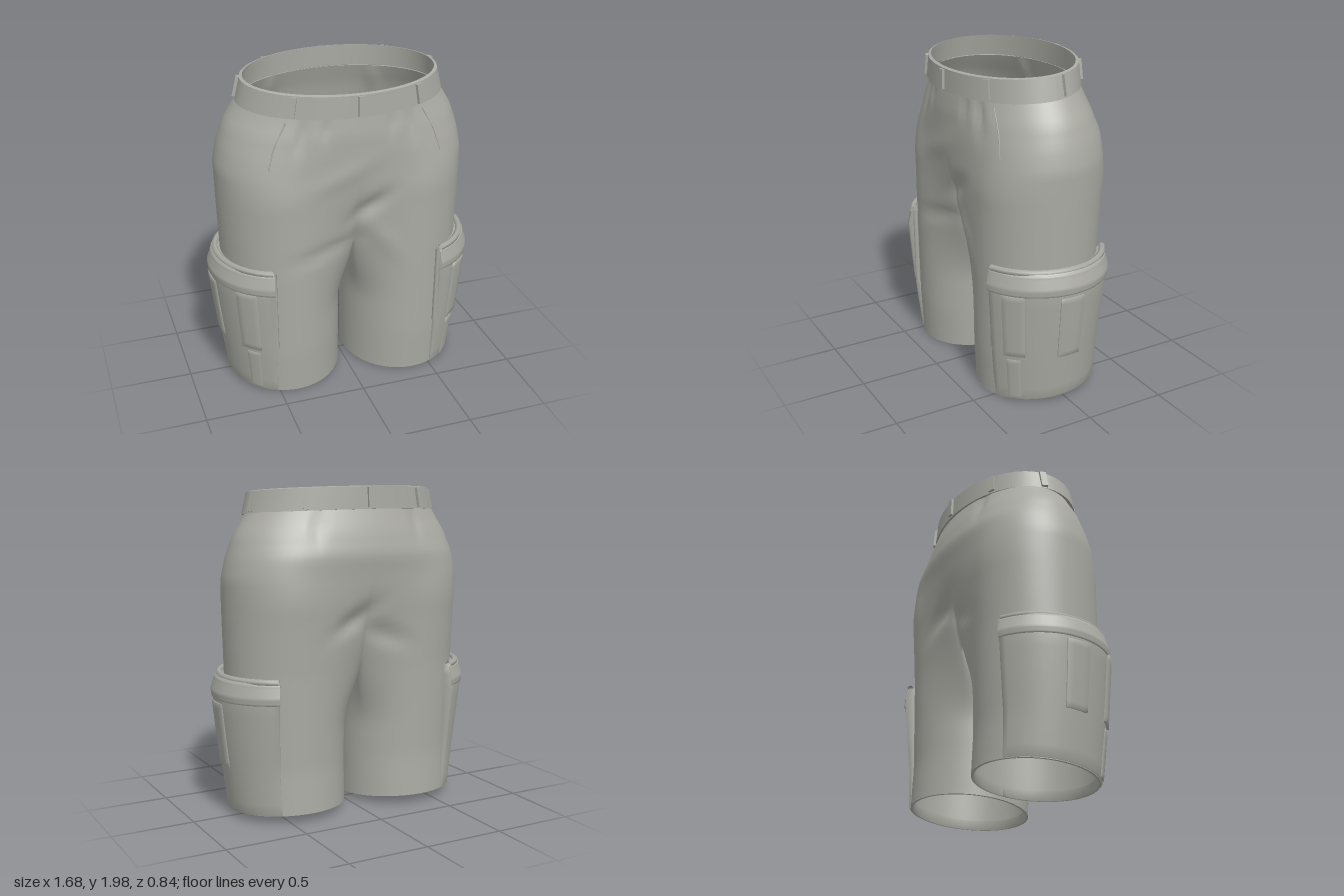
import * as THREE from 'three';
import { mergeGeometries, mergeVertices } from 'three/addons/utils/BufferGeometryUtils.js';

const { lerp, smoothstep, clamp, degToRad } = THREE.MathUtils;
const T = degToRad(150);          // where the outer leg wall meets the inseam wall
const CX = 0.385, CROTCH = 0.97, TOP = 1.84;

// Height, half width, front z, back z
const SIZES = [
  [0.0, 0.735, 0.37, 0.355], [0.3, 0.745, 0.385, 0.34], [0.9, 0.757, 0.39, 0.355],
  [1.2, 0.765, 0.39, 0.375], [1.45, 0.77, 0.395, 0.40], [1.57, 0.745, 0.40, 0.418],
  [1.7, 0.70, 0.40, 0.39], [1.84, 0.612, 0.385, 0.345],
];
// Cloth folds: side (+1 front, -1 back), x, y, angle, length, width, height
const FOLDS = [
  [1, -0.33, 1.72, 1.3, 0.10, 0.025, -0.022], [1, 0.33, 1.72, 1.9, 0.10, 0.025, -0.022],
  [1, -0.20, 1.75, 1.5, 0.07, 0.025, -0.015], [1, 0.20, 1.75, 1.7, 0.07, 0.025, -0.015],
  [1, 0.08, 1.22, 0.6, 0.13, 0.05, -0.03], [1, -0.2, 0.95, 0.2, 0.2, 0.04, -0.018],
  [1, 0.17, 0.98, -0.9, 0.17, 0.05, 0.015], [1, -0.1, 1.45, 0.4, 0.2, 0.06, 0.012],
  [-1, -0.33, 1.74, 1.4, 0.09, 0.03, -0.018], [-1, 0.33, 1.74, 1.7, 0.09, 0.03, -0.018],
  [-1, 0.1, 1.2, -0.5, 0.15, 0.05, -0.03], [-1, -0.12, 1.1, 0.4, 0.15, 0.05, -0.025],
];

function sizesAt(y) {
  let i = 0;
  while (i < SIZES.length - 2 && y > SIZES[i + 1][0]) i++;
  const a = SIZES[i], b = SIZES[i + 1], f = clamp((y - a[0]) / (b[0] - a[0]), 0, 1);
  return [1, 2, 3].map((k) => lerp(a[k], b[k], f));
}

const slant = (y, z) => y - 0.08 * clamp(Math.abs(y - 0.95), 0, 0.9) / 0.9 * z;
const seam = (y) => smoothstep(y, 0.5, CROTCH);
const hull = (y) => smoothstep(y, 0.5, 1.45);

// Point on the +x half at angle t (0 = outer side, + = front); beyond T is the inseam
function cloth(t, y, side = 1) {
  const [w, zf, zb] = sizesAt(y), a = Math.abs(t), s = hull(y);
  const depth = Math.sin(t) >= 0 ? zf : zb;
  let x = CX + (Math.cos(t) > 0 ? w - CX : 0.36) * Math.cos(t);
  let z = depth * Math.sin(t);
  if (a > T + 1e-6) {
    x *= (1 - s) * (1 - seam(y));
    const end = lerp(Math.sin(T), 1, s) / Math.sin(T);
    z *= end;
  } else {
    if (a > Math.PI / 2) {
      const f = (a - Math.PI / 2) / (T - Math.PI / 2);
      x = lerp(x, CX * (1 - f), s);
      z = lerp(z, depth * Math.sign(t), s);
      x *= 1 - seam(y) * f ** 3;
    }
    const e = smoothstep(y, 1.25, 1.82), phi = t / T * Math.PI / 2;
    x = lerp(x, w * Math.cos(phi), e);
    z = lerp(z, depth * Math.sin(phi), e);
    for (const [sd, fx, fy, ang, len, wid, h] of FOLDS) {
      if (sd * z <= 0.1) continue;
      const dx = x * side - fx, dy = y - fy;
      const p = (dx * Math.cos(ang) + dy * Math.sin(ang)) / len;
      const q = (dy * Math.cos(ang) - dx * Math.sin(ang)) / wid;
      z += sd * h * Math.exp(-p * p - q * q);
    }
  }
  return new THREE.Vector3(x, slant(y, z), z);
}

// Surface through fn(column, row); side = -1 mirrors it across x
function grid(cols, rows, fn, side = 1) {
  const pos = [], idx = [], n = cols + 1;
  for (let j = 0; j <= rows; j++) for (let i = 0; i <= cols; i++) {
    const p = fn(side > 0 ? i : cols - i, j);
    pos.push(p.x * side, p.y, p.z);
    if (i < cols && j < rows) {
      const a = j * n + i;
      idx.push(a, a + n, a + 1, a + 1, a + n, a + n + 1);
    }
  }
  const g = new THREE.BufferGeometry();
  g.setAttribute('position', new THREE.Float32BufferAttribute(pos, 3));
  g.setIndex(idx);
  g.computeVertexNormals();
  return g;
}

// Thickness of the cargo pocket above the leg
const BULGE = [[0.04, 0.01], [0.25, 0.03], [0.5, 0.055], [0.78, 0.08], [0.85, 0.055], [0.9, 0.045]];
function bulge(t, y) {
  let i = 0;
  while (i < BULGE.length - 2 && y > BULGE[i + 1][0]) i++;
  const [a, b] = [BULGE[i], BULGE[i + 1]];
  const f = clamp((y - a[0]) / (b[0] - a[0]), 0, 1);
  return lerp(a[1], b[1], f) * (0.55 + 0.45 * Math.cos(t));
}
function offCloth(t, y, off, side) {
  const p = cloth(t, y, side);
  p.x += off * Math.cos(t);
  p.z += off * Math.sin(t);
  return p;
}

// Raised panel wrapped on the leg, with its border dropped to the base offset
function panel(deg0, deg1, y0, y1, base, top, side) {
  const cols = Math.max(4, Math.round((deg1 - deg0) / 5)) + 2, rows = 14;
  return grid(cols, rows, (i, j) => {
    const t = degToRad(lerp(deg0, deg1, clamp((i - 1) / (cols - 2), 0, 1)));
    const y = lerp(y0, y1, clamp((j - 1) / (rows - 2), 0, 1));
    const rim = i === 0 || j === 0 || i === cols || j === rows;
    return offCloth(t, y, (rim ? base : top)(t, y), side);
  }, side);
}

export function createModel() {
  const model = new THREE.Group();
  const fabric = new THREE.MeshStandardMaterial({ color: 0xaaaaa3, side: THREE.DoubleSide });
  fabric.name = 'grey fabric';
  const add = (name, geometry) => {
    const m = new THREE.Mesh(geometry, fabric);
    m.name = name;
    model.add(m);
    return m;
  };
  const tube = (name, pts, r) =>
    add(name, new THREE.TubeGeometry(new THREE.CatmullRomCurve3(pts), pts.length * 3, r, 6));

  // Body and legs, welded along the centre seam
  const parts = [];
  for (const side of [1, -1]) {
    parts.push(grid(64, 44, (i, j) => {
      const y = j <= 20 ? lerp(0.04, CROTCH, j / 20) : lerp(CROTCH, TOP, (j - 20) / 24);
      return cloth(lerp(-T, T, i / 64), y, side);
    }, side));
    parts.push(grid(16, 20, (i, j) => {
      const y = lerp(0.04, CROTCH, j / 20);
      if (i === 0 || i === 16) return cloth(i ? -T : T, y, side);
      return cloth(lerp(T, 2 * Math.PI - T, i / 16), y, side);
    }, side));
  }
  const body = mergeVertices(mergeGeometries(parts.map((g) => g.deleteAttribute('normal'))), 1e-4);
  body.computeVertexNormals();
  add('shortsBody', body);

  // Waistband: outer wall, rim and inner wall
  const band = (a, y, w, d) => {
    const z = 0.025 + d * Math.sin(a);
    return new THREE.Vector3(w * Math.cos(a), y - 0.08 * z, z);
  };
  const BAND = [[1.825, 0.605, 0.37], [1.825, 0.628, 0.388], [1.955, 0.595, 0.383],
    [1.96, 0.577, 0.365], [1.83, 0.603, 0.368]];
  for (let k = 0; k < 4; k++) {
    add('waistband', grid(72, 1, (i, j) => band(i / 72 * Math.PI * 2, ...BAND[k + j])));
  }

  // Belt loops
  for (const deg of [90, 52, 128, -10, 190, -90, -52, -128]) {
    const a = degToRad(deg);
    const lo = band(a, 1.835, 0.63, 0.392), hi = band(a, 1.95, 0.602, 0.388);
    const loop = add('beltLoop', new THREE.BoxGeometry(0.04, lo.distanceTo(hi), 0.022));
    loop.position.copy(lo).add(hi).multiplyScalar(0.5);
    const up = hi.clone().sub(lo).normalize();
    const out = new THREE.Vector3(Math.cos(a) / 0.6, 0, Math.sin(a) / 0.385);
    const right = up.clone().cross(out).normalize();
    loop.quaternion.setFromRotationMatrix(
      new THREE.Matrix4().makeBasis(right, up, right.clone().cross(up)));
  }

  for (const side of [1, -1]) {
    const at = (deg, y, off) => {
      const p = offCloth(degToRad(deg), y, off, side);
      p.x *= side;
      return p;
    };
    const zero = () => -0.004;
    const raised = (h) => (t, y) => bulge(t, y) + h;

    // Cargo pocket with flap and straps
    add('cargoPocket', panel(-60, 69, 0.045, 0.87, zero, bulge, side));
    add('pocketFlap', panel(-61, 70, 0.74, 0.86, bulge, raised(0.006), side));
    add('pocketStrap', panel(-7, 12, 0.33, 0.72, bulge, raised(0.012), side));
    add('pocketStrap', panel(38, 56, 0.35, 0.74, bulge, raised(0.014), side));
    add('lowerStrap', panel(42, 54, 0.05, 0.32, bulge, raised(0.008), side));

    // Rolled pocket opening and front edge
    const lip = [], edge = [];
    for (let d = -60; d <= 69; d += 129 / 12) lip.push(at(d, 0.872, 0.03));
    for (let y = 0.36; y <= 0.87; y += 0.1) edge.push(at(69, y, 0.015));
    tube('pocketLip', lip, 0.02);
    tube('pocketEdge', edge, 0.016);

    // Slanted hip pocket seam
    tube('hipPocketSeam', [at(84, 1.79, 0), at(78, 1.65, 0), at(72, 1.52, 0)], 0.004);

    // Turned-in hem
    add('hem', grid(64, 2, (i, j) => {
      const t = i / 64 * Math.PI * 2 - Math.PI;
      const p = cloth(Math.abs(t) > T ? (t < 0 ? t + 2 * Math.PI : t) : t, 0.04, side);
      const k = j ? 0.955 : 1;
      p.x = CX + (p.x - CX) * k;
      p.z *= k;
      if (j === 2) p.y += 0.06;
      return p;
    }, side));
  }
  return model;
}
